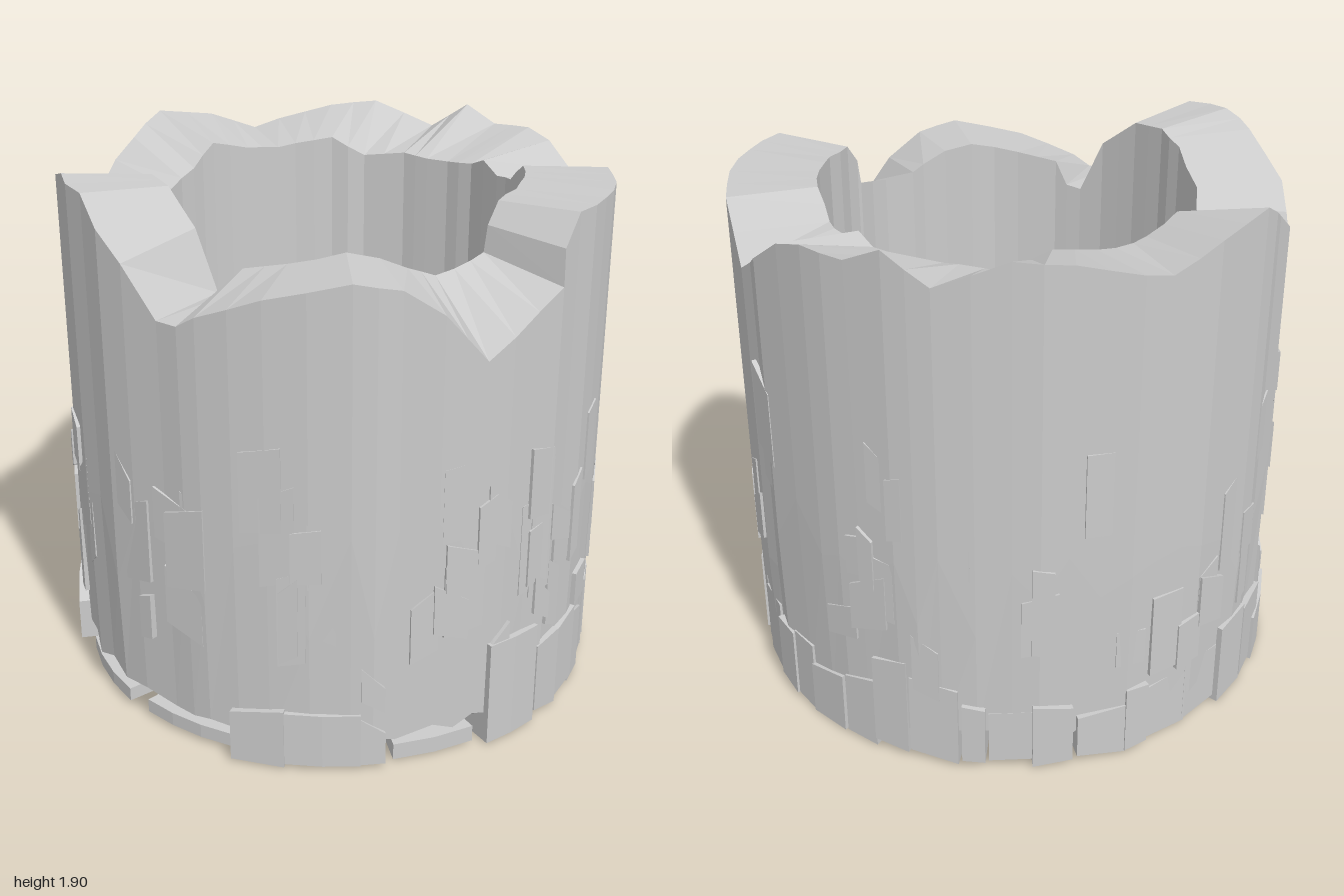
import * as THREE from 'three';

const RAD = Math.PI / 180;
const stone = new THREE.MeshStandardMaterial({ color: 0xcccccc, flatShading: true });

// Seeded random numbers
let seed = 11;
const rnd = (lo = 0, hi = 1) => {
  seed = (seed * 16807) % 2147483647;
  return lo + (hi - lo) * (seed / 2147483647);
};

// Broken rim: angle from the front (towards +x), outer height, inner height
const RIM = [
  [-2, 1.54, 1.55], [3, 1.54, 1.56], [7, 1.58, 1.65], [20, 1.66, 1.68], [36, 1.72, 1.72],
  [45, 1.69, 1.7], [53, 1.6, 1.66], [62, 1.43, 1.62], [80, 1.61, 1.66], [81, 1.73, 1.75],
  [86, 1.83, 1.82], [105, 1.83, 1.83], [127, 1.82, 1.83], [138, 1.64, 1.75], [147, 1.73, 1.74],
  [155, 1.82, 1.78], [162, 1.85, 1.75], [172, 1.84, 1.74], [180, 1.9, 1.74], [189, 1.8, 1.75],
  [203, 1.89, 1.73], [214, 1.87, 1.8], [233, 1.79, 1.77], [244, 1.86, 1.78], [258, 1.9, 1.82],
  [267, 1.82, 1.74], [279, 1.68, 1.69], [294, 1.67, 1.68], [300, 1.75, 1.74], [316, 1.86, 1.83],
  [325, 1.9, 1.87], [337, 1.88, 1.86], [350, 1.7, 1.75], [358, 1.54, 1.55],
];

// Joins cross-sections { a, pts: [[r, y], ...] } swept around the vertical axis.
// Points run outer bottom, outer top, inner top, inner bottom.
function loft(sections, closed) {
  const pos = [];
  const put = (s, j) => {
    const [r, y] = s.pts[j % s.pts.length];
    pos.push(r * Math.sin(s.a * RAD), y, r * Math.cos(s.a * RAD));
  };
  const n = sections.length, m = sections[0].pts.length;
  for (let i = 0; i < (closed ? n : n - 1); i++) {
    const s = sections[i], t = sections[(i + 1) % n];
    for (let j = 0; j < m; j++) {
      put(s, j); put(t, j); put(t, j + 1);
      put(s, j); put(t, j + 1); put(s, j + 1);
    }
  }
  if (!closed) {
    for (let j = 1; j < m - 1; j++) {
      for (const k of [0, j, j + 1]) put(sections[0], k);
      for (const k of [0, j + 1, j]) put(sections[n - 1], k);
    }
  }
  const geo = new THREE.BufferGeometry();
  geo.setAttribute('position', new THREE.Float32BufferAttribute(pos, 3));
  geo.computeVertexNormals();
  return geo;
}

function add(parent, name, geo) {
  const mesh = new THREE.Mesh(geo, stone);
  mesh.name = name;
  parent.add(mesh);
}

// Curved stone block between two angles with a sloping top and bottom
function block(a0, a1, r0, r1, bottom, topA, topB = topA, bottomB = bottom) {
  const steps = Math.max(1, Math.round((a1 - a0) / 8));
  const sections = [];
  for (let i = 0; i <= steps; i++) {
    const t = i / steps;
    const lo = bottom + (bottomB - bottom) * t, hi = topA + (topB - topA) * t;
    sections.push({ a: a0 + (a1 - a0) * t, pts: [[r1, lo], [r1, hi], [r0, hi], [r0, lo]] });
  }
  return loft(sections, false);
}

// Hollow wall with the jagged rim and an uneven, undercut lower edge
function wall() {
  const sections = [];
  for (let i = 0; i < RIM.length - 1; i++) {
    const [a0, o0, i0] = RIM[i], [a1, o1, i1] = RIM[i + 1];
    const steps = Math.ceil((a1 - a0) / 8);
    for (let k = 0; k < steps; k++) {
      const t = k / steps;
      const ro = rnd(0.965, 0.985), ri = rnd(0.655, 0.67);
      const top = o0 + (o1 - o0) * t, foot = rnd(0.1, 0.18);
      sections.push({
        a: a0 + (a1 - a0) * t,
        pts: [
          [ro - 0.13, rnd(0.05, 0.1)], [ro - 0.01, foot], [ro, rnd(0.5, 0.9)], [ro, top],
          [ri, i0 + (i1 - i0) * t], [ri, rnd(0.7, 1.1)], [ri + 0.01, rnd(0.14, 0.26)],
        ],
      });
    }
  }
  return loft(sections, true);
}

export function createModel() {
  seed = 11;
  const group = new THREE.Group();
  group.name = 'brokenStoneRing';
  add(group, 'wall', wall());

  // Larger chunks at the foot: start, end, inner r, outer r, bottom, top start, top end
  const chunks = [
    [12, 23, 0.78, 0.99, 0.01, 0.2, 0.23], [23, 38, 0.76, 0.985, 0.02, 0.22, 0.22],
    [38, 43, 0.8, 0.98, 0.02, 0.2, 0.14], [65, 78, 0.76, 0.99, 0.01, 0.4, 0.4],
    [-12, 11, 0.74, 0.94, 0.02, 0.07, 0.07], [-42, -18, 0.74, 0.95, 0.02, 0.07, 0.07],
    [-60, -46, 0.78, 1.0, 0.03, 0.3, 0.19], [-72, -61, 0.76, 0.99, 0.01, 0.3, 0.37],
    [-90, -74, 0.78, 0.995, 0.01, 0.2, 0.24], [45, 63, 0.76, 0.95, 0.01, 0.07, 0.07],
  ];
  const foot = new THREE.Group();
  foot.name = 'footChunks';
  group.add(foot);
  for (const c of chunks) add(foot, 'footChunk', block(...c));

  // Upright splinters around the rest of the foot
  const splinters = new THREE.Group();
  splinters.name = 'footSplinters';
  group.add(splinters);
  for (let a = 79; a < 268;) {
    const w = rnd(4, 11), h = a < 135 ? rnd(0.29, 0.33) : rnd(0.2, 0.4);
    add(splinters, 'splinter',
      block(a, a + w, rnd(0.7, 0.8), rnd(0.965, 0.99), rnd(0, 0.04), h, h + rnd(-0.04, 0.04), rnd(0, 0.04)));
    a += w + rnd(-0.5, 1);
  }

  // Thin flakes that crack the outer face
  const flakes = new THREE.Group();
  flakes.name = 'surfaceFlakes';
  group.add(flakes);
  for (let i = 0; i < 80; i++) {
    const a = rnd(0, 360), w = rnd(3, 9), y = rnd(0.25, 1.05), h = rnd(0.1, 0.34), s = rnd(-0.1, 0.1);
    add(flakes, 'flake', block(a, a + w, 0.93, rnd(0.974, 0.985), y, y + h, y + h + s, y + s * 0.6));
  }
  return group;
}
